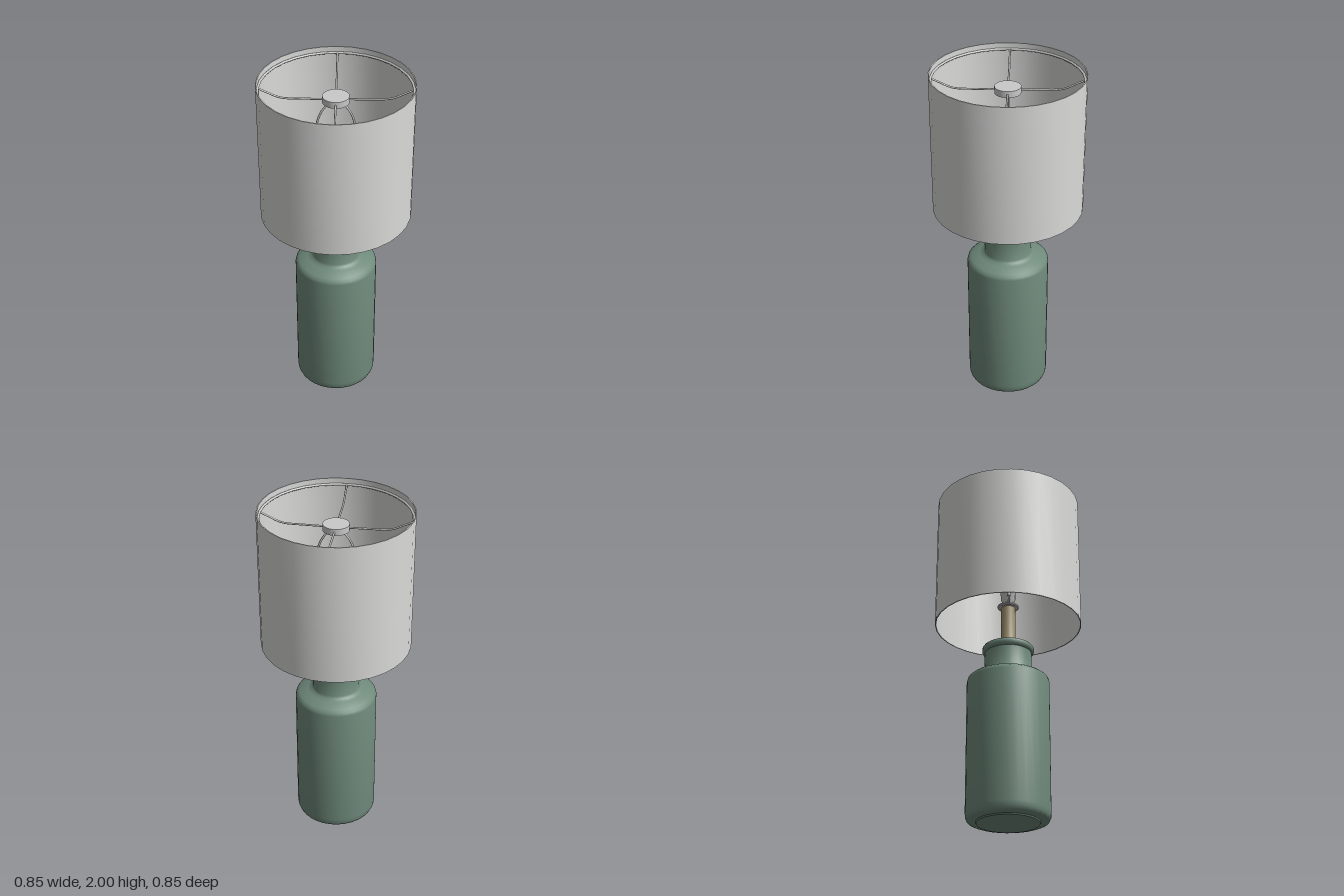
import * as THREE from 'three';
import { toCreasedNormals } from 'three/addons/utils/BufferGeometryUtils.js';

const material = (name, color, side = THREE.FrontSide) => {
  const m = new THREE.MeshStandardMaterial({ color, side });
  m.name = name;
  return m;
};

export function createModel() {
  const group = new THREE.Group();
  const green = material('green ceramic', 0x6f8a7b);
  const linen = material('pale linen', 0xdadbd9, THREE.DoubleSide);
  const brass = material('aged brass', 0xa09272);
  const steel = material('pale steel', 0xc9cac9);

  const add = (name, geometry, mat) => {
    const mesh = new THREE.Mesh(geometry, mat);
    mesh.name = name;
    group.add(mesh);
    return mesh;
  };
  // Profiles are [radius, height] pairs from bottom to top
  const lathe = (name, profile, mat, sides = 32) => add(name, toCreasedNormals(
    new THREE.LatheGeometry(profile.map(([r, y]) => new THREE.Vector2(r, y)), sides), 0.75), mat);
  const wire = (name, points, radius, mat) => add(name, new THREE.TubeGeometry(
    new THREE.CatmullRomCurve3(points.map(p => new THREE.Vector3(...p)), false, 'centripetal'),
    40, radius, 8), mat);

  // Bottle-shaped base with shoulder, neck and rolled lip
  lathe('base', [
    [0, 0], [0.175, 0], [0.178, 0.008], [0.212, 0.009], [0.226, 0.015], [0.234, 0.033],
    [0.236, 0.06], [0.236, 0.825], [0.232, 0.842], [0.215, 0.856], [0.165, 0.875],
    [0.143, 0.884], [0.135, 0.897], [0.135, 1.01], [0.143, 1.014], [0.149, 1.024],
    [0.149, 1.041], [0.143, 1.05], [0.13, 1.053], [0, 1.056],
  ], green);

  // Stem with its foot collar
  lathe('stem', [
    [0.06, 1.05], [0.06, 1.062], [0.052, 1.069], [0.046, 1.073], [0.042, 1.085],
    [0.042, 1.315], [0, 1.315],
  ], brass, 24);

  // Saddle plate that carries the harp
  lathe('saddle', [[0, 1.306], [0.056, 1.306], [0.062, 1.312], [0.062, 1.32], [0.05, 1.328], [0, 1.328]], steel, 24);

  // Bulb socket
  lathe('socket', [
    [0.03, 1.325], [0.034, 1.35], [0.042, 1.362], [0.042, 1.395], [0.046, 1.4],
    [0.046, 1.412], [0.04, 1.418], [0.04, 1.49], [0.034, 1.49], [0.034, 1.43], [0, 1.43],
  ], steel, 24);

  // Harp arms, mirrored, rising from the saddle to the hub
  for (const s of [-1, 1]) {
    wire('harpArm', [
      [s * 0.045, 1.318, 0], [s * 0.075, 1.322, 0], [s * 0.088, 1.345, 0], [s * 0.098, 1.42, 0],
      [s * 0.112, 1.55, 0], [s * 0.112, 1.68, 0], [s * 0.09, 1.8, 0], [s * 0.045, 1.87, 0], [0, 1.888, 0],
    ], 0.006, steel);
    const ferrule = add('harpFerrule', new THREE.CylinderGeometry(0.01, 0.01, 0.04, 12), steel);
    ferrule.position.set(s * 0.09, 1.365, 0);
  }

  // Drum shade with a thin wall
  lathe('shade', [
    [0.421, 1.19], [0.427, 1.19], [0.427, 2], [0.421, 2], [0.421, 1.19],
  ], linen);

  // Wire ring just below the top edge
  const ring = add('shadeRing', new THREE.TorusGeometry(0.415, 0.007, 8, 32), steel);
  ring.rotation.x = Math.PI / 2;
  ring.position.y = 1.965;

  // Central hub of the shade
  lathe('hub', [[0, 1.888], [0.073, 1.888], [0.073, 1.925], [0, 1.925]], steel);

  // Four dropped spokes between hub and ring
  for (let i = 0; i < 4; i++) {
    const spoke = wire('spoke', [
      [0.06, 1.905, 0], [0.18, 1.906, 0], [0.27, 1.908, 0], [0.31, 1.916, 0], [0.36, 1.939, 0], [0.415, 1.965, 0],
    ], 0.0055, steel);
    spoke.rotation.y = i * Math.PI / 2;
  }

  return group;
}
